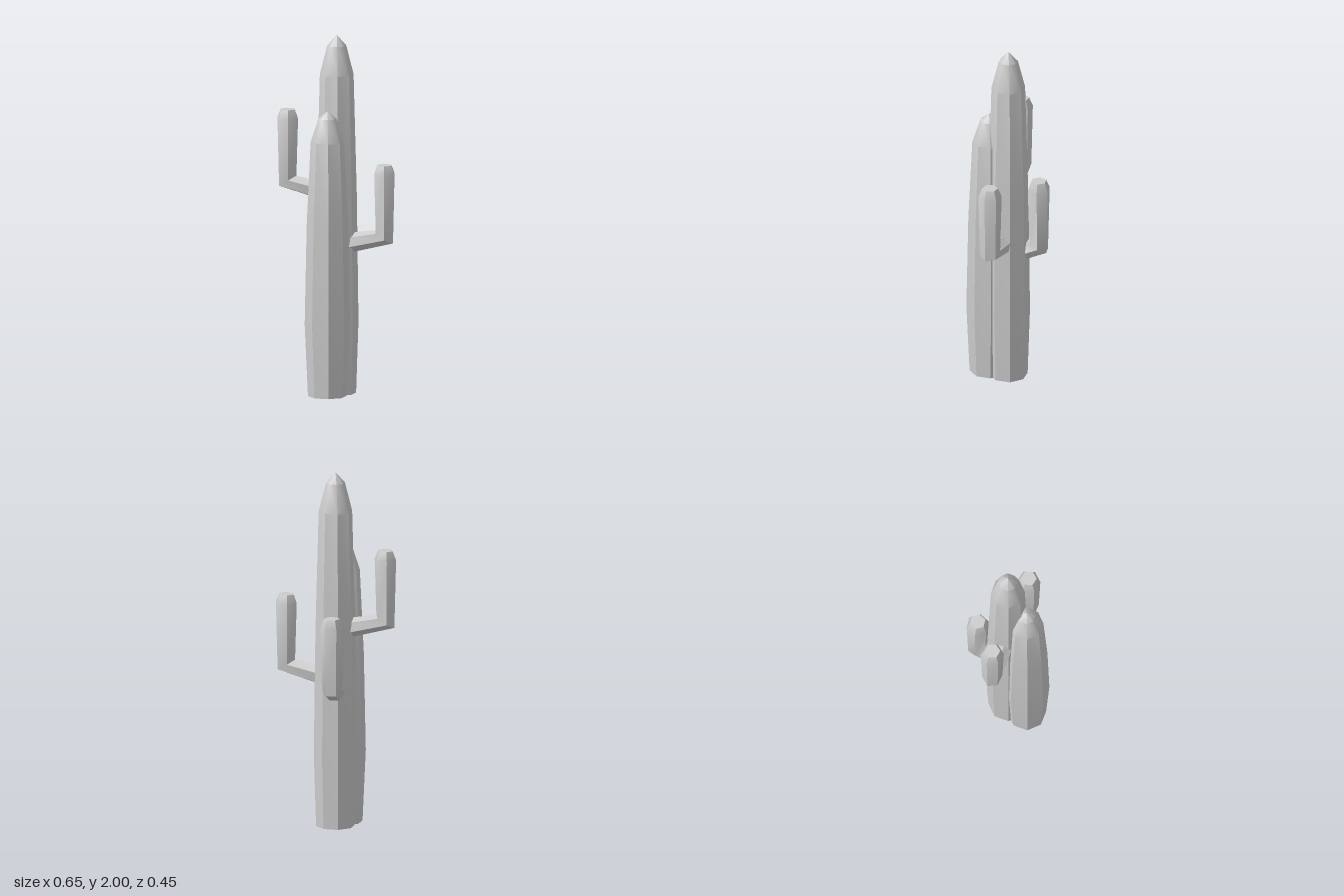
import * as THREE from 'three';
import { toCreasedNormals } from 'three/addons/utils/BufferGeometryUtils.js';

const material = new THREE.MeshStandardMaterial({ color: 0xcccccc });
const CREASE = THREE.MathUtils.degToRad(44.5);

// Skin a stack of rings {c: centre, u, v: half axes} and close both ends.
function loft(name, rings, sides, offset = 0) {
  const positions = [], index = [];
  for (const { c, u, v } of rings) {
    for (let i = 0; i < sides; i++) {
      const a = offset + (i / sides) * Math.PI * 2;
      const p = c.clone().addScaledVector(u, Math.cos(a)).addScaledVector(v, Math.sin(a));
      positions.push(p.x, p.y, p.z);
    }
  }
  const last = (rings.length - 1) * sides;
  const bottom = rings.length * sides, top = bottom + 1;
  positions.push(...rings[0].c.toArray(), ...rings[rings.length - 1].c.toArray());
  for (let i = 0; i < sides; i++) {
    const j = (i + 1) % sides;
    for (let k = 0; k < last; k += sides) {
      index.push(k + i, k + sides + i, k + j, k + j, k + sides + i, k + sides + j);
    }
    index.push(bottom, i, j, top, last + j, last + i);
  }
  const geometry = new THREE.BufferGeometry();
  geometry.setAttribute('position', new THREE.Float32BufferAttribute(positions, 3));
  geometry.setIndex(index);
  const mesh = new THREE.Mesh(toCreasedNormals(geometry, CREASE), material);
  mesh.name = name;
  return mesh;
}

// Eight-sided column with a pointed, rounded tip; profile is [radius, height].
function column(name, x, z, profile) {
  const points = profile.map(([r, y]) => new THREE.Vector2(r, y));
  const geometry = toCreasedNormals(new THREE.LatheGeometry(points, 8), CREASE);
  const mesh = new THREE.Mesh(geometry, material);
  mesh.name = name;
  mesh.position.set(x, 0, z);
  return mesh;
}

// Six-sided arm: leaves the trunk, bends at the elbow and rises to a bevelled end.
function arm(name, x, z, top, degrees, offsetDegrees, reach) {
  const a = THREE.MathUtils.degToRad(degrees);
  const out = new THREE.Vector3(Math.cos(a), 0, Math.sin(a));
  const side = new THREE.Vector3(-out.z, 0, out.x);
  // each row: distance outward, height below top, half axis outward, half axis down, half width
  const rows = [
    [-reach, -0.45, 0, 0.056, 0.055],
    [0, -0.40, 0.054, 0.033, 0.056],
    [0, -0.05, 0.064, 0, 0.064],
    [0, 0, 0.044, 0, 0.044],
  ];
  const rings = rows.map(([d, y, uo, ud, w]) => ({
    c: new THREE.Vector3(x, top + y, z).addScaledVector(out, d),
    u: out.clone().multiplyScalar(uo).add(new THREE.Vector3(0, -ud, 0)),
    v: side.clone().multiplyScalar(w),
  }));
  return loft(name, rings, 6, THREE.MathUtils.degToRad(offsetDegrees));
}

export function createModel() {
  const group = new THREE.Group();
  group.name = 'cactus';

  // Two columns growing side by side
  group.add(
    column('tallTrunk', -0.008, -0.015, [
      [0, 0], [0.107, 0], [0.12, 0.4], [0.111, 1.1], [0.093, 1.78], [0.053, 1.94], [0, 2],
    ]),
    column('shortTrunk', 0.024, 0.097, [
      [0, 0], [0.107, 0], [0.125, 0.4], [0.114, 0.95], [0.092, 1.42], [0.05, 1.55], [0, 1.59],
    ]),
  );

  // Arms around the tall trunk
  group.add(
    arm('rightArm', -0.262, 0.106, 1.57, 154.4, 11, 0.22),
    arm('leftArm', 0.26, -0.11, 1.29, -20, 9, 0.22),
    arm('backArm', -0.096, -0.16, 1.21, -117, 27, 0.11),
  );
  return group;
}
